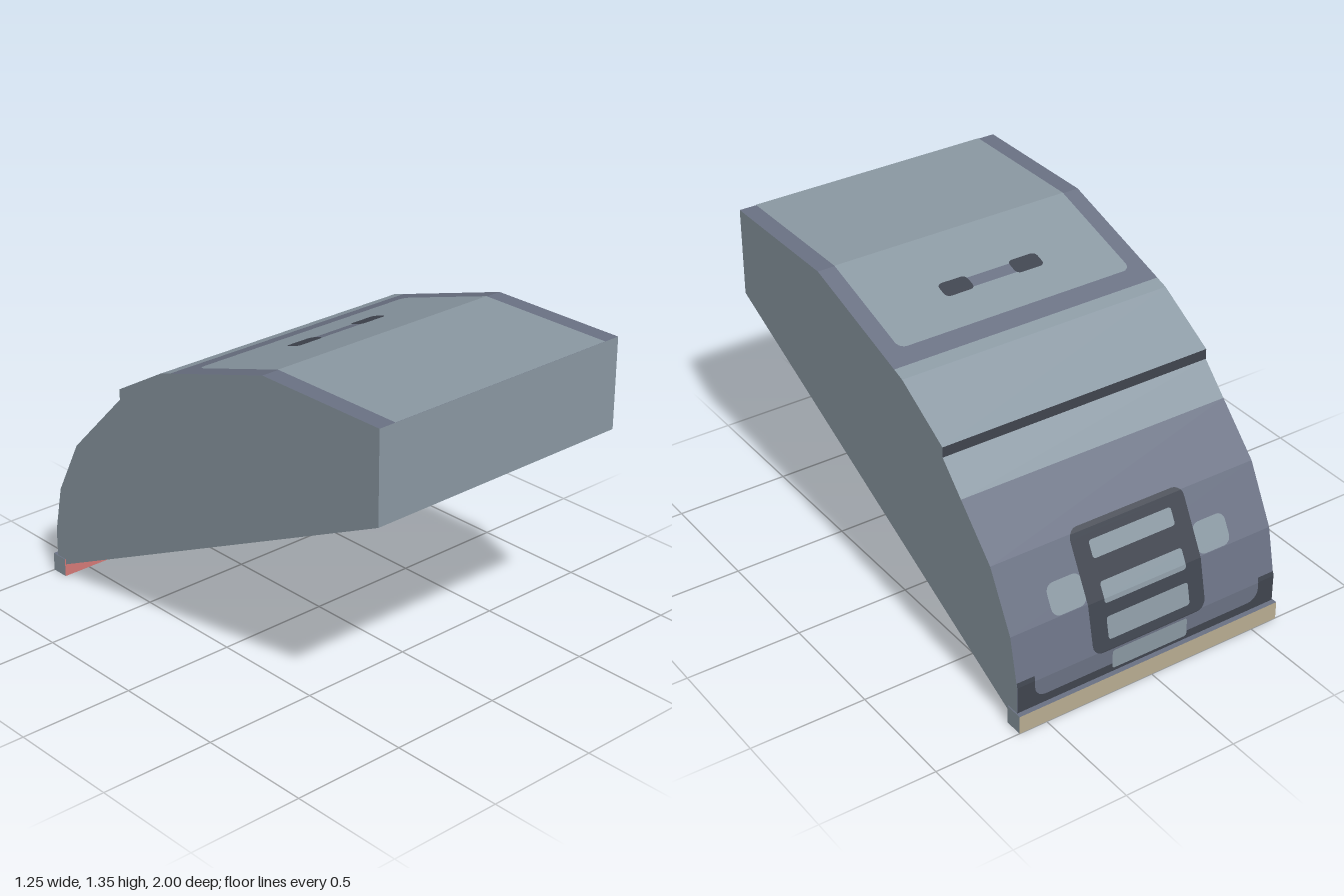
import * as THREE from 'three';

const mat = (name, color) => {
  const m = new THREE.MeshStandardMaterial({ color });
  m.name = name;
  return m;
};

const HALF = 0.62;
// Side profile as [z, y], from the front top edge over the roof to the rear bottom
const TOP = [[1, 1.35], [0.38, 1.35], [-0.22, 1.165], [-0.49, 1.01], [-0.49, 0.965],
  [-0.8, 0.655], [-0.93, 0.41], [-0.975, 0.2], [-0.975, 0.055]];
const BOTTOM = [[-0.92, 0.055], [1, 0.965]];

// Running length along the top profile
const LEN = [0];
for (let i = 1; i < TOP.length; i++) {
  LEN.push(LEN[i - 1] + Math.hypot(TOP[i][0] - TOP[i - 1][0], TOP[i][1] - TOP[i - 1][1]));
}

// Length along the profile where coordinate k (0 = z, 1 = y) drops to v
function lengthAt(k, v) {
  for (let i = 1; i < TOP.length; i++) {
    const a = TOP[i - 1][k], b = TOP[i][k];
    if (a > b && v <= a && v >= b) return LEN[i - 1] + (LEN[i] - LEN[i - 1]) * (a - v) / (a - b);
  }
  return LEN[LEN.length - 1];
}
const atZ = (z) => lengthAt(0, z);
const atY = (y) => lengthAt(1, y);

// Point on the profile, lifted outwards from the middle of the body
function pointAt(s, lift) {
  let i = 1;
  while (i < LEN.length - 1 && s > LEN[i]) i++;
  const t = (s - LEN[i - 1]) / (LEN[i] - LEN[i - 1]);
  const z = TOP[i - 1][0] + (TOP[i][0] - TOP[i - 1][0]) * t;
  const y = TOP[i - 1][1] + (TOP[i][1] - TOP[i - 1][1]) * t;
  const dz = z - 0.1, dy = y - 0.3, d = Math.hypot(dz, dy);
  return [z + lift * dz / d, y + lift * dy / d];
}

// Flat-shaded sheet across x from rows of { p: [z, y], w: half width }
function sheet(rows, cx = 0) {
  const pos = [];
  for (let i = 1; i < rows.length; i++) {
    const [a, b] = [rows[i - 1], rows[i]];
    const A = [cx - a.w, a.p[1], a.p[0]], B = [cx + a.w, a.p[1], a.p[0]];
    const C = [cx + b.w, b.p[1], b.p[0]], D = [cx - b.w, b.p[1], b.p[0]];
    pos.push(...A, ...B, ...C, ...A, ...C, ...D);
  }
  const g = new THREE.BufferGeometry();
  g.setAttribute('position', new THREE.Float32BufferAttribute(pos, 3));
  g.computeVertexNormals();
  return g;
}

// Rounded rectangle that follows the profile from length a to b; r0, r1 are end radii
function wrap(a, b, { cx = 0, w = HALF, lift = 0, r0 = 0, r1 = r0 }) {
  const stops = [a, b, ...LEN.filter((s) => s > a + 1e-4 && s < b - 1e-4)];
  for (let k = 1; k <= 5; k++) {
    const c = 1 - Math.cos(k * Math.PI / 10);
    if (r0) stops.push(a + r0 * c);
    if (r1) stops.push(b - r1 * c);
  }
  stops.sort((p, q) => p - q);
  const inset = (d, r) => (d < r ? r - Math.sqrt(Math.max(0, r * r - (r - d) ** 2)) : 0);
  return sheet(stops.map((s) => ({
    p: pointAt(s, lift),
    w: w - Math.max(inset(s - a, r0), inset(b - s, r1)),
  })), cx);
}

export function createModel() {
  const grey = mat('blue grey panel', 0x8b99a3);
  const slate = mat('slate trim', 0x6b7284);
  const dark = mat('charcoal', 0x40454f);
  const tan = mat('tan', 0xb9ad92);
  const red = mat('red', 0xd57a78);

  const group = new THREE.Group();
  group.name = 'wedgeBody';
  const add = (name, geometry, material) => {
    const m = new THREE.Mesh(geometry, material);
    m.name = name;
    group.add(m);
  };

  // Flat side walls
  for (const side of [1, -1]) {
    const outline = [...TOP, ...BOTTOM].map(([z, y]) => new THREE.Vector2(-side * z, y));
    const g = new THREE.ShapeGeometry(new THREE.Shape(outline));
    g.rotateY(side * Math.PI / 2).translate(side * HALF, 0, 0);
    add(side > 0 ? 'leftWall' : 'rightWall', g, grey);
  }

  // Outer skin in bands, front to rear
  const bandA = atZ(-0.165), bandB = atZ(-0.61);
  add('upperFrame', wrap(0, bandA, {}), slate);
  add('upperBand', wrap(bandA, LEN[3], {}), grey);
  add('step', wrap(LEN[3], LEN[4], {}), dark);
  add('lowerBand', wrap(LEN[4], bandB, {}), grey);
  add('rearSkin', wrap(bandB, LEN[8], {}), slate);

  // Underside and front wall
  const across = (pts) => sheet(pts.map((p) => ({ p, w: HALF })));
  add('underside', across([TOP[8], ...BOTTOM]), slate);
  add('frontWall', across([BOTTOM[1], TOP[0]]), grey);

  // Large inset panel with its handle
  add('insetPanel', wrap(0, atZ(-0.085), { w: 0.545, lift: 0.002, r0: 0, r1: 0.035 }), grey);
  add('handleBar', wrap(atZ(0.125), atZ(0.075), { w: 0.11, lift: 0.004 }), slate);
  for (const s of [1, -1]) {
    add('handleEnd', wrap(atZ(0.137), atZ(0.065), { cx: s * 0.166, w: 0.067, lift: 0.006, r0: 0.022 }), dark);
  }

  // Dark lower rear border with a rounded panel on top of it
  add('rearBorder', wrap(atY(0.22), atY(0.075), { lift: 0.002 }), dark);
  add('rearPanel', wrap(atY(0.3), atY(0.12), { w: 0.54, lift: 0.004, r0: 0, r1: 0.05 }), slate);

  // Side lamps, grille, grille bars and plate
  for (const s of [1, -1]) {
    add('lamp', wrap(atY(0.53), atY(0.415), { cx: s * 0.345, w: 0.08, lift: 0.005, r0: 0.035 }), grey);
  }
  add('grille', wrap(atY(0.67), atY(0.195), { w: 0.27, lift: 0.007, r0: 0.045 }), dark);
  for (const [hi, lo] of [[0.615, 0.55], [0.47, 0.39], [0.335, 0.24]]) {
    add('grilleBar', wrap(atY(hi), atY(lo), { w: 0.195, lift: 0.009, r0: 0.012 }), grey);
  }
  add('plate', wrap(atY(0.185), atY(0.1), { w: 0.18, lift: 0.007, r0: 0.012 }), grey);

  // Bumper bar: red inside, tan outside
  const bumper = new THREE.BoxGeometry(1.25, 0.08, 0.08).translate(0, 0.04, -0.96);
  add('bumper', bumper, [grey, grey, slate, slate, red, tan]);

  return group;
}
